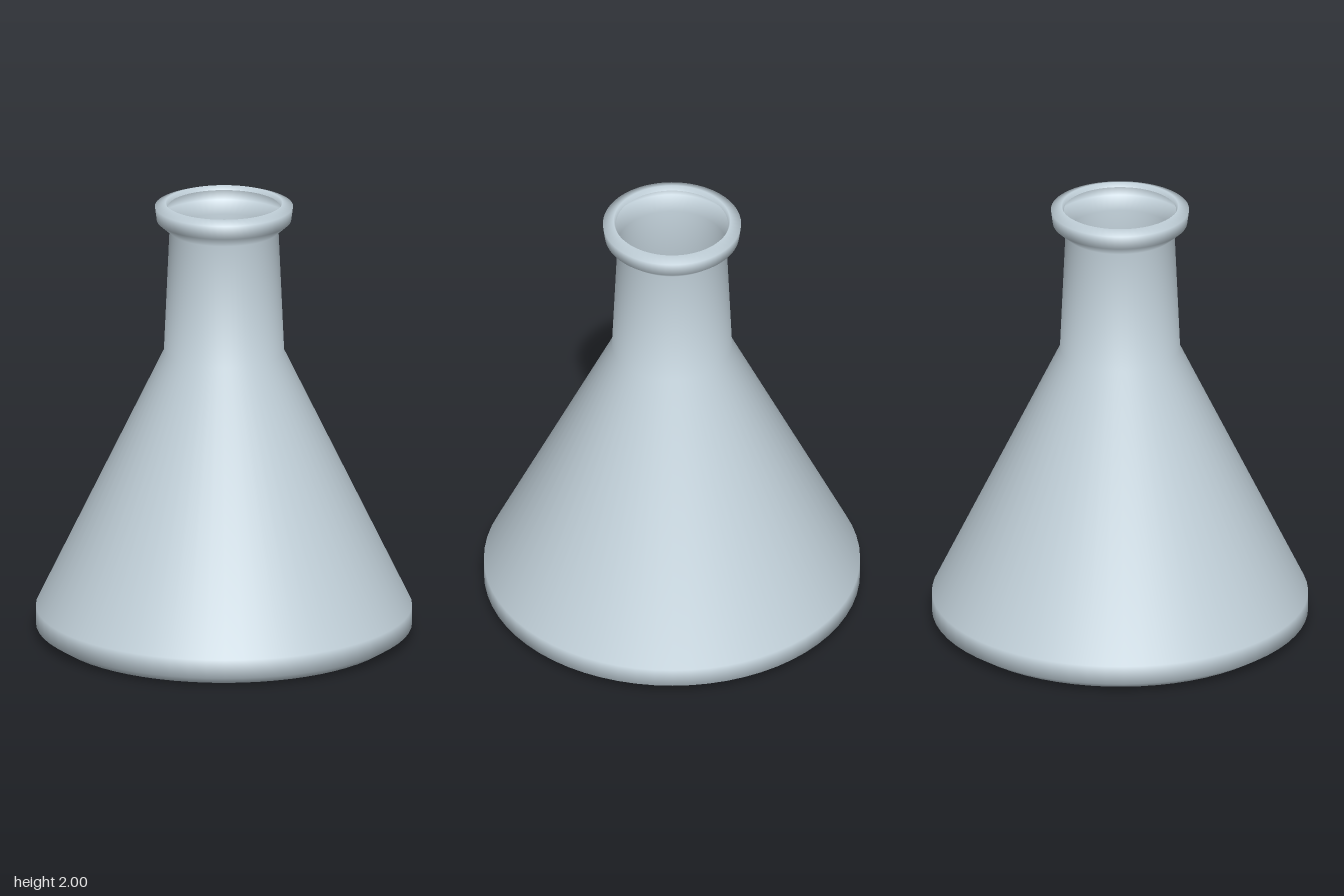
import * as THREE from 'three';

const SEGMENTS = 64;

// Revolve a list of [radius, height] points into a smooth surface
function lathe(name, profile, material) {
  const points = profile.map(([r, y]) => new THREE.Vector2(r, y));
  const mesh = new THREE.Mesh(new THREE.LatheGeometry(points, SEGMENTS), material);
  mesh.name = name;
  return mesh;
}

export function createModel() {
  const flask = new THREE.Group();
  flask.name = 'conicalFlask';

  const glass = new THREE.MeshStandardMaterial({ color: 0xc4d3dc, side: THREE.DoubleSide });
  glass.name = 'paleGlass';
  const teal = new THREE.MeshStandardMaterial({ color: 0x7bdcd4 });
  teal.name = 'tealLiquid';

  // Thin shell: flat base, conical body, tapering neck and flared lip
  flask.add(lathe('glassShell', [
    [0, 0], [0.775, 0], [0.838, 0.04], [0.838, 0.125],
    [0.268, 1.31], [0.243, 1.87],
    [0.3, 1.92], [0.308, 1.983], [0.26, 2], [0.25, 1.98],
  ], glass));

  // Liquid filling the lower part of the cone
  flask.add(lathe('liquid', [
    [0, 0.03], [0.76, 0.03], [0.81, 0.06], [0.81, 0.125], [0.56, 0.65], [0, 0.65],
  ], teal));

  return flask;
}
